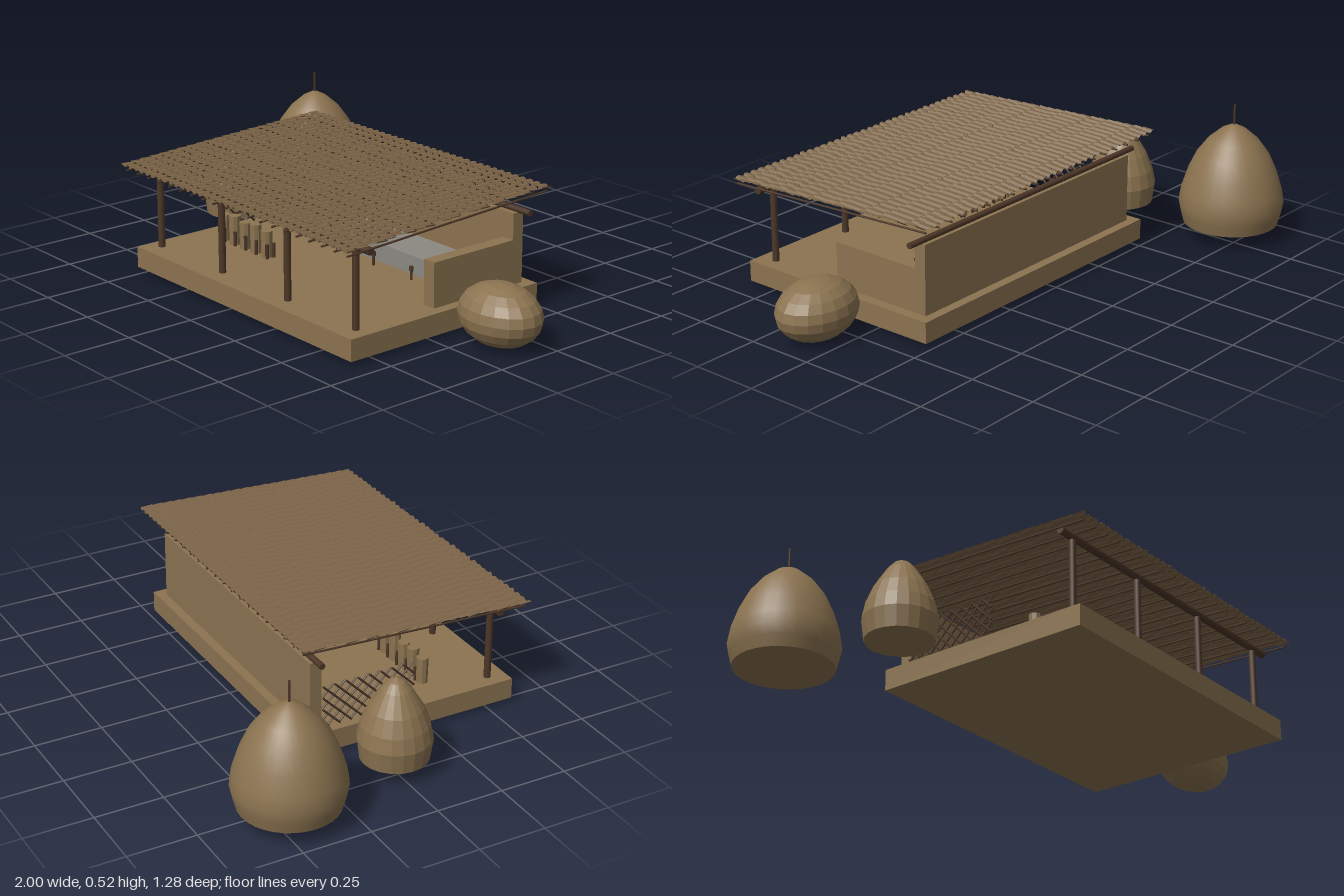
import * as THREE from 'three';

const mat = (name, color, flat = false, double = false) => {
  const m = new THREE.MeshStandardMaterial({ color, flatShading: flat });
  m.name = name;
  if (double) m.side = THREE.DoubleSide;
  return m;
};

export function createModel() {
  const root = new THREE.Group();
  root.name = 'openShed';

  const clay = mat('clay', 0x8b7350);
  const clayFlat = mat('clay faceted', 0x8b7350, true);
  const thatch = mat('roof shingle', 0x7d6548, true, true);
  const wood = mat('dark wood', 0x4d3728);
  const stone = mat('grey stone', 0x8c8983);

  let seed = 7;
  const rand = () => (seed = (seed * 16807) % 2147483647) / 2147483647;

  const add = (name, geo, material, x = 0, y = 0, z = 0, parent = root) => {
    const m = new THREE.Mesh(geo, material);
    m.name = name;
    m.position.set(x, y, z);
    parent.add(m);
    return m;
  };
  // box given by its minimum and maximum corners
  const block = (name, material, x0, x1, y0, y1, z0, z1) =>
    add(name, new THREE.BoxGeometry(x1 - x0, y1 - y0, z1 - z0), material,
      (x0 + x1) / 2, (y0 + y1) / 2, (z0 + z1) / 2);
  // round bar between two points
  const bar = (name, a, b, r, parent = root, sides = 8) => {
    const from = new THREE.Vector3(...a), to = new THREE.Vector3(...b);
    const dir = to.clone().sub(from);
    const m = add(name, new THREE.CylinderGeometry(r, r, dir.length(), sides), wood, 0, 0, 0, parent);
    m.position.copy(from).add(to).multiplyScalar(0.5);
    m.quaternion.setFromUnitVectors(new THREE.Vector3(0, 1, 0), dir.normalize());
    return m;
  };
  const group = (name) => {
    const g = new THREE.Group();
    g.name = name;
    root.add(g);
    return g;
  };

  // platform and walls
  block('platform', clay, -0.53, 0.67, 0.015, 0.092, -0.23, 0.6);
  block('backWall', clay, -0.49, 0.63, 0.092, 0.348, -0.195, -0.15);
  block('sideWall', clay, 0.58, 0.63, 0.092, 0.253, -0.15, 0.21);
  block('stoneBench', stone, -0.1, 0.49, 0.092, 0.16, -0.12, 0.04);

  // posts and long beams
  for (const x of [-0.475, -0.11, 0.255, 0.61])
    bar('frontPost', [x, 0.09, 0.53], [x, 0.365, 0.53], 0.0125, root, 12);
  bar('frontBeam', [-0.54, 0.378, 0.53], [0.685, 0.378, 0.53], 0.014, root, 10);
  bar('backBeam', [-0.54, 0.357, -0.175], [0.685, 0.357, -0.175], 0.011, root, 10);

  // rafters and battens
  const frame = group('roofFrame');
  for (let i = 0; i < 20; i++) {
    const x = -0.54 + (i / 19) * 1.225;
    bar('rafter', [x, 0.382, 0.628], [x, 0.422, -0.25], 0.004, frame, 6);
  }
  // overlapping courses of narrow shingles with a ragged lower edge
  const roof = group('roofCourses');
  const rows = 22, cols = 72, z0 = 0.635, z1 = -0.255;
  for (let r = 0; r < rows; r++) {
    const g = new THREE.PlaneGeometry(1.26, 0.046, cols * 3, 1);
    g.rotateX(-Math.PI / 2);
    const p = g.attributes.position, n = cols * 3 + 1;
    const phase = Math.floor(rand() * 3);
    let ragged = 0;
    for (let i = 0; i < n; i++) {
      if (i % 3 === 0) ragged = (rand() - 0.5) * 0.008;
      const wave = ((i + phase) % 6 < 3 ? 0.004 : -0.003);
      p.setY(i, wave - 0.001);
      p.setY(n + i, wave + 0.001);
      p.setZ(n + i, p.getZ(n + i) + ragged);
    }
    g.computeVertexNormals();
    const t = (r + 0.5) / rows;
    add('shingleCourse', g, thatch, 0.07, 0.399 + t * 0.041, z0 + (z1 - z0) * t, roof);
  }

  // crossed lattice screen on the right-hand edge
  const lattice = group('latticeScreen');
  const yLow = 0.095, yTop = 0.252, h = yTop - yLow, zMin = -0.15, zMax = 0.21;
  for (const dir of [1, -1]) {
    for (let s = zMin - h; s <= zMax + h; s += 0.045) {
      let a = Math.max(zMin, Math.min(s, s + dir * h));
      let b = Math.min(zMax, Math.max(s, s + dir * h));
      if (b - a < 0.02) continue;
      const y = (z) => yLow + (z - s) * dir;
      const x = -0.497 + dir * 0.003;
      bar('latticeBar', [x, y(a), a], [x, y(b), b], 0.004, lattice, 5);
    }
  }

  // row of upright logs with short pegs between
  const logs = group('logRow');
  for (let i = 0; i < 5; i++) {
    const x = -0.393 + i * 0.0625;
    const top = i % 2 ? 0.107 : 0.098;
    add('log', new THREE.CylinderGeometry(0.022, 0.02, top, 9), clayFlat, x, 0.092 + top / 2, 0.31, logs);
    for (const side of [-1, 1])
      bar('logPeg', [x + 0.02, 0.09, 0.31 + side * 0.015], [x + 0.02, 0.145, 0.31 + side * 0.015], 0.007, logs, 6);
  }

  // small turned pegs before the bench
  for (const x of [-0.03, 0.17, 0.37]) {
    bar('pegStem', [x, 0.09, 0.08], [x, 0.135, 0.08], 0.005);
    bar('pegHead', [x, 0.127, 0.08], [x, 0.142, 0.08], 0.008);
  }

  // domed stacks
  const lathe = (pts, sides) => new THREE.LatheGeometry(pts.map(([r, y]) => new THREE.Vector2(r, y)), sides);
  add('largeStack', lathe([[0, 0.06], [0.176, 0.06], [0.176, 0.06], [0.187, 0.1], [0.195, 0.14], [0.187, 0.19],
    [0.165, 0.26], [0.135, 0.325], [0.094, 0.38], [0.045, 0.422], [0.012, 0.438], [0, 0.44]], 32),
  clay, -0.805, 0, -0.445);
  bar('stackPole', [-0.805, 0.42, -0.445], [-0.805, 0.516, -0.445], 0.004);
  add('smallStack', lathe([[0, 0.06], [0.12, 0.06], [0.13, 0.135], [0.119, 0.19], [0.095, 0.25],
    [0.075, 0.283], [0.052, 0.32], [0.028, 0.347], [0, 0.361]], 20),
  clayFlat, -0.72, 0, 0.002);

  // rounded mound
  const mound = add('mound', new THREE.SphereGeometry(1, 18, 10), clayFlat, 0.838, 0.108, 0.105);
  mound.scale.set(0.162, 0.108, 0.123);

  return root;
}
